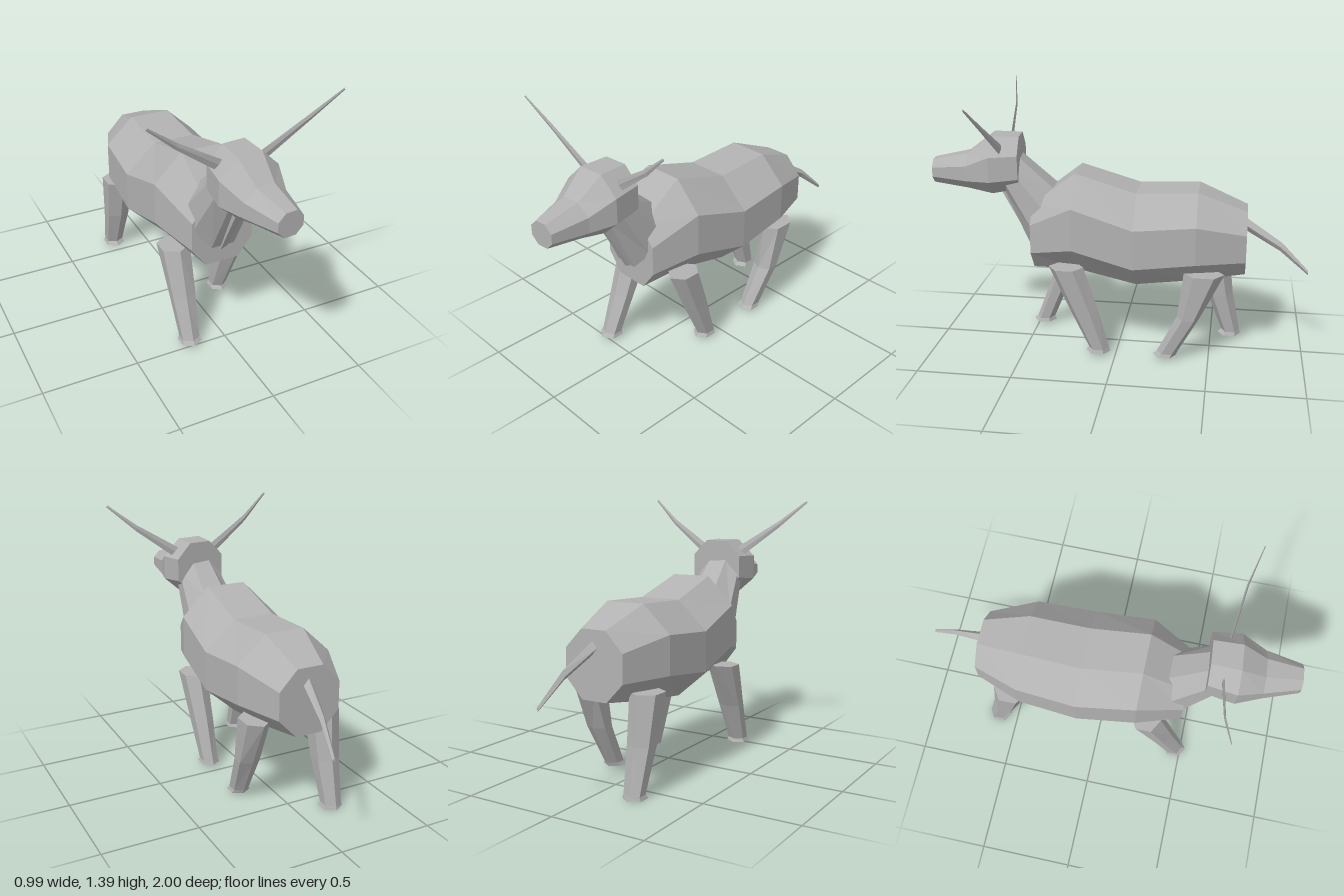
import * as THREE from 'three';

const hide = new THREE.MeshStandardMaterial({ color: 0xb2b2b2, flatShading: true });
hide.name = 'grey hide';

// Skin a row of equal-sized rings of [x, y, z] points and cap both ends.
function loft(name, rings) {
  const n = rings[0].length, tris = [];
  for (let r = 0; r < rings.length - 1; r++) {
    for (let i = 0; i < n; i++) {
      const j = (i + 1) % n;
      const a = rings[r][i], b = rings[r][j], c = rings[r + 1][j], d = rings[r + 1][i];
      tris.push([a, b, c], [a, c, d]);
    }
  }
  const last = rings[rings.length - 1];
  for (let i = 1; i < n - 1; i++) {
    tris.push([rings[0][0], rings[0][i + 1], rings[0][i]], [last[0], last[i], last[i + 1]]);
  }
  // Signed volume tells whether the corners need reversing
  const v = (p) => new THREE.Vector3(...p);
  let volume = 0;
  for (const [a, b, c] of tris) volume += v(a).dot(v(b).cross(v(c)));
  if (volume < 0) tris.forEach((t) => t.reverse());
  const geometry = new THREE.BufferGeometry();
  geometry.setAttribute('position', new THREE.Float32BufferAttribute(tris.flat(2), 3));
  geometry.computeVertexNormals();
  const mesh = new THREE.Mesh(geometry, hide);
  mesh.name = name;
  return mesh;
}

// Eight-sided upright section: heights of the four corner levels, half widths
function octagon(z, top, up, low, bottom, half, flat, cx, turn = 0) {
  return [
    [flat, bottom], [half, low], [half, up], [flat, top],
    [-flat, top], [-half, up], [-half, low], [-flat, bottom],
  ].map(([x, y]) => [cx + x, y, z - turn * x]);
}

// Six-sided level section with points to front and back
function hexagon([y, zBack, zFront, x0, x1]) {
  const zc = (zBack + zFront) / 2, q = (zFront - zBack) / 4;
  return [[x0, y, zc - q], [(x0 + x1) / 2, y, zBack], [x1, y, zc - q],
    [x1, y, zc + q], [(x0 + x1) / 2, y, zFront], [x0, y, zc + q]];
}

// Four-sided section from an upper and a lower [x, y, z] point and a half thickness along one axis
function diamond(upper, lower, thick, axis) {
  const mid = upper.map((u, i) => (u + lower[i]) / 2);
  const a = [...mid], b = [...mid];
  a[axis] += thick;
  b[axis] -= thick;
  return [upper, a, lower, b];
}

export function createModel() {
  const model = new THREE.Group();
  model.name = 'hornedCow';

  // Barrel body, rump to chest
  model.add(loft('body', [
    octagon(-0.675, 0.81, 0.71, 0.565, 0.465, 0.165, 0.07, -0.005),
    octagon(-0.42, 0.91, 0.77, 0.57, 0.43, 0.258, 0.108, -0.01),
    octagon(-0.1, 0.895, 0.745, 0.535, 0.39, 0.276, 0.113, -0.01),
    octagon(0.22, 0.99, 0.84, 0.615, 0.46, 0.256, 0.108, -0.01),
    octagon(0.455, 0.81, 0.715, 0.56, 0.455, 0.168, 0.09, -0.005),
  ]));

  // Neck: each ring runs from a nape point to a throat point [y, z]
  const neckRing = ([y0, z0], [y1, z1], half, cx) =>
    [[0.42, 0], [1, 0.3], [1, 0.7], [0.42, 1], [-0.42, 1], [-1, 0.7], [-1, 0.3], [-0.42, 0]]
      .map(([x, t]) => [cx + x * half, y0 + (y1 - y0) * t, z0 + (z1 - z0) * t]);
  model.add(loft('neck', [
    neckRing([0.89, 0.35], [0.565, 0.48], 0.148, -0.015),
    neckRing([1.06, 0.54], [0.87, 0.615], 0.12, -0.005),
  ]));

  // Thin fold of skin under the throat
  model.add(loft('dewlap', [
    [[-0.025, 0.6, 0.43], [-0.025, 0.54, 0.478], [0.012, 0.558, 0.48], [0.012, 0.62, 0.43]],
    [[-0.028, 0.9, 0.58], [-0.025, 0.85, 0.638], [0.012, 0.85, 0.638], [0.012, 0.9, 0.58]],
  ]));

  // Head, turned slightly to its left
  model.add(loft('head', [
    octagon(0.527, 1.165, 1.08, 0.955, 0.885, 0.142, 0.062, 0, 0.08),
    octagon(0.678, 1.165, 1.072, 0.94, 0.855, 0.162, 0.067, 0.003, 0.08),
    octagon(0.808, 1.067, 1.012, 0.932, 0.878, 0.114, 0.048, 0.013, 0.08),
    octagon(0.995, 1.03, 0.992, 0.943, 0.905, 0.068, 0.03, 0.033, 0.08),
  ]));

  // Long flat horns
  for (const [name, s] of [['leftHorn', 1], ['rightHorn', -1]]) {
    model.add(loft(name, [
      diamond([s * 0.09, 1.122, 0.607], [s * 0.125, 1.076, 0.607], 0.006, 2),
      diamond([s * 0.333, 1.272, 0.632], [s * 0.345, 1.243, 0.632], 0.005, 2),
      diamond([s * 0.49, 1.392, 0.67], [s * 0.497, 1.382, 0.67], 0.002, 2),
    ]));
  }

  // Drooping tail
  model.add(loft('tail', [
    diamond([0, 0.765, -0.66], [0, 0.695, -0.66], 0.028, 0),
    diamond([0.035, 0.64, -0.86], [0.035, 0.595, -0.85], 0.015, 0),
    diamond([0.064, 0.502, -1], [0.064, 0.478, -1], 0.008, 0),
  ]));

  // Legs: [y, back z, front z, inner x, outer x] from hip to hoof
  const legs = {
    leftFrontLeg: [
      [0.5, 0.17, 0.355, 0.115, 0.243], [0.25, 0.09, 0.245, 0.12, 0.225],
      [0.037, 0.035, 0.145, 0.125, 0.21], [0.018, 0.028, 0.16, 0.117, 0.217],
    ],
    rightFrontLeg: [
      [0.5, 0.185, 0.355, -0.115, -0.265], [0.25, 0.32, 0.43, -0.125, -0.25],
      [0.037, 0.41, 0.51, -0.142, -0.235], [0.018, 0.4, 0.53, -0.135, -0.242],
    ],
    leftBackLeg: [
      [0.5, -0.57, -0.36, 0.115, 0.243], [0.25, -0.45, -0.33, 0.12, 0.235],
      [0.037, -0.335, -0.225, 0.125, 0.21], [0.018, -0.328, -0.205, 0.117, 0.217],
    ],
    rightBackLeg: [
      [0.5, -0.59, -0.4, -0.115, -0.265], [0.25, -0.617, -0.47, -0.125, -0.25],
      [0.02, -0.663, -0.56, -0.142, -0.235], [0, -0.67, -0.54, -0.135, -0.242],
    ],
  };
  for (const [name, sections] of Object.entries(legs)) {
    model.add(loft(name, sections.map(hexagon)));
  }
  return model;
}
